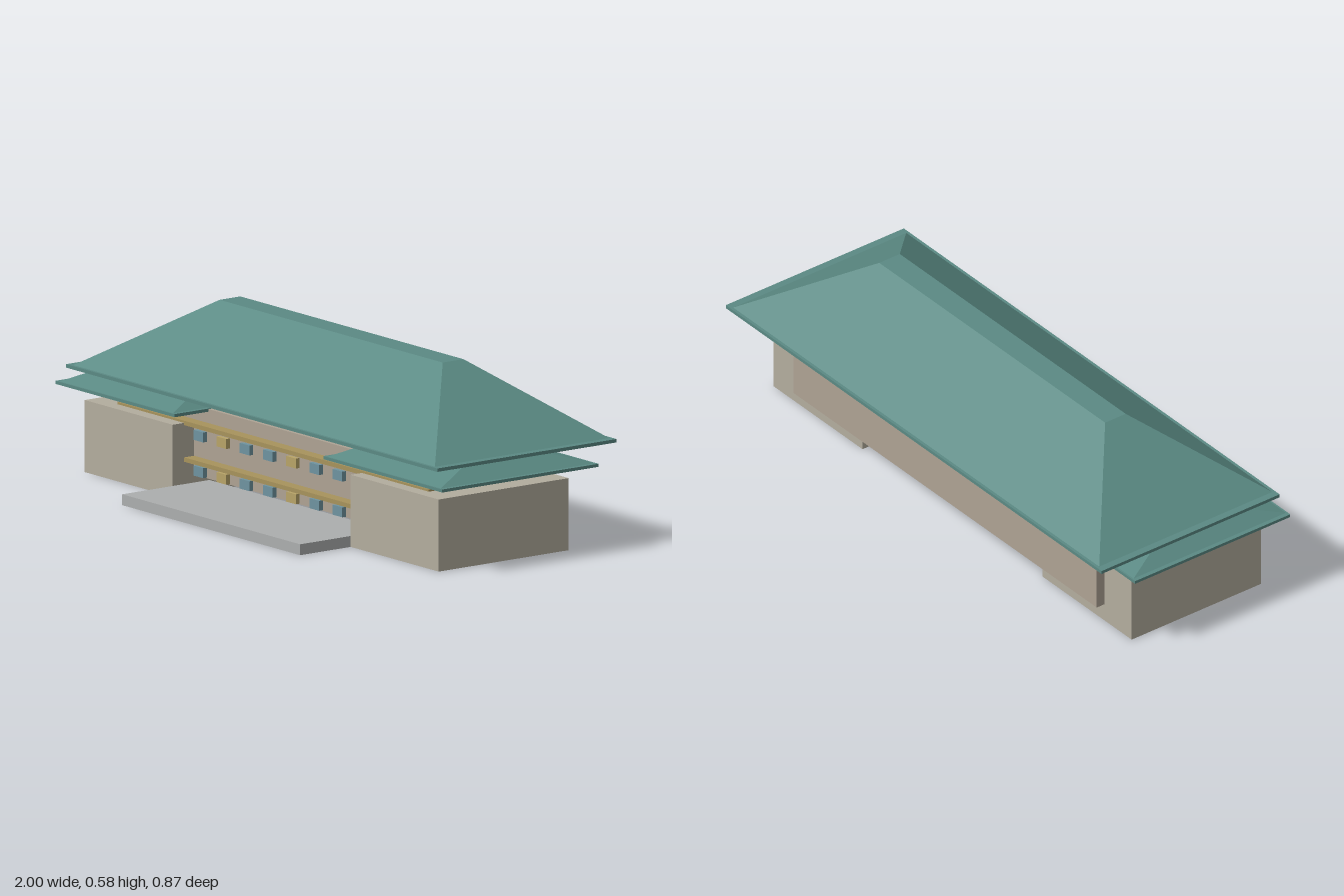
import * as THREE from 'three';

const mat = (color) => new THREE.MeshStandardMaterial({ color });
const materials = {
  wall: mat(0xb3ad9e),
  body: mat(0xaea394),
  roof: mat(0x5b8a84),
  paving: mat(0xacaeae),
  trim: mat(0xa8935c),
  glass: mat(0x6f94a0),
  litGlass: mat(0xb8a468),
};

// Box given by its extents [min, max] on each axis
function block(name, material, [x0, x1], [y0, y1], [z0, z1]) {
  const mesh = new THREE.Mesh(new THREE.BoxGeometry(x1 - x0, y1 - y0, z1 - z0), material);
  mesh.position.set((x0 + x1) / 2, (y0 + y1) / 2, (z0 + z1) / 2);
  mesh.name = name;
  return mesh;
}

// Hipped roof: a box whose upper corners are drawn in to the flat ridge
function hip(name, [x0, x1], [y0, y1], [z0, z1], ridgeX, ridgeZ) {
  const mesh = block(name, materials.roof, [x0, x1], [y0, y1], [z0, z1]);
  const pos = mesh.geometry.attributes.position;
  for (let i = 0; i < pos.count; i++) {
    if (pos.getY(i) < 0) continue;
    pos.setX(i, ridgeX[pos.getX(i) > 0 ? 1 : 0] - mesh.position.x);
    pos.setZ(i, ridgeZ[pos.getZ(i) > 0 ? 1 : 0] - mesh.position.z);
  }
  mesh.geometry.computeVertexNormals();
  return mesh;
}

export function createModel() {
  const model = new THREE.Group();
  model.name = 'hall';

  // Raised main body and front terrace
  model.add(block('mainBody', materials.body, [-0.775, 0.775], [0.06, 0.284], [-0.31, 0.15]));
  model.add(block('terrace', materials.paving, [-0.46, 0.46], [0, 0.035], [0.09, 0.435]));

  // Side wings, each with its own low hipped roof
  for (const side of [-1, 1]) {
    const span = (a, b) => (side > 0 ? [a, b] : [-b, -a]);
    const wing = new THREE.Group();
    wing.name = side > 0 ? 'leftWing' : 'rightWing';
    wing.add(block('wingWalls', materials.wall, span(0.46, 0.915), [0, 0.232], [-0.28, 0.235]));
    wing.add(block('wingEaves', materials.roof, span(0.385, 1), [0.276, 0.286], [-0.333, 0.286]));
    wing.add(hip('wingRoof', span(0.40, 0.985), [0.286, 0.334], [-0.327, 0.28],
      span(0.473, 0.912), [-0.165, 0.12]));
    model.add(wing);
  }

  // Two storeys of facade: ledge above a row of windows
  for (const [ledgeY, windowY] of [[0.114, 0.078], [0.232, 0.193]]) {
    model.add(block('ledge', materials.trim, [-0.805, 0.805], [ledgeY - 0.007, ledgeY + 0.007], [0.145, 0.19]));
    for (let i = 0; i < 8; i++) {
      const x = -0.42 + i * 0.12;
      const pane = i % 3 === 1 ? materials.litGlass : materials.glass;
      model.add(block('window', pane, [x - 0.025, x + 0.025],
        [windowY - 0.016, windowY + 0.016], [0.14, 0.165]));
    }
  }

  // Great upper roof
  model.add(block('mainEaves', materials.roof, [-0.96, 0.96], [0.334, 0.345], [-0.435, 0.275]));
  model.add(hip('mainRoof', [-0.935, 0.935], [0.345, 0.577], [-0.425, 0.265],
    [-0.577, 0.577], [-0.122, -0.04]));

  return model;
}
